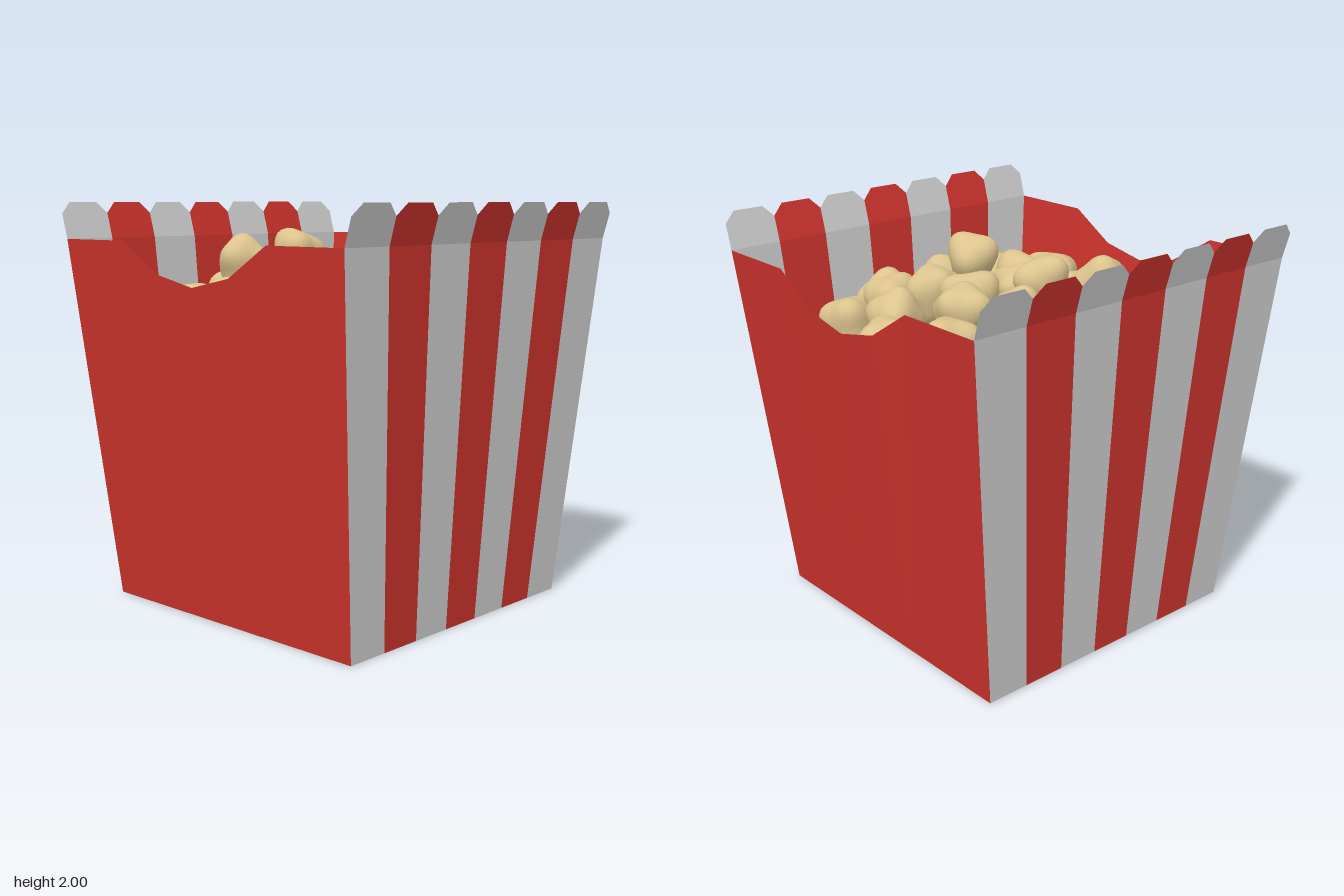
import * as THREE from 'three';
import { mergeVertices } from 'three/addons/utils/BufferGeometryUtils.js';

const H = 1.82;                       // rim height, where the side tabs start to flare
const lerp = THREE.MathUtils.lerp;
const halfX = (y) => lerp(0.8, 0.93, y / H);
const halfZ = (y) => lerp(0.78, 0.965, y / H);

function makeMaterial(name, color, side = THREE.FrontSide) {
  const m = new THREE.MeshStandardMaterial({ color, side });
  m.name = name;
  return m;
}

// Flat-shaded surface from a list of convex polygons, each a list of [x, y, z]
function polygons(list) {
  const pos = [];
  for (const p of list) {
    for (let i = 1; i < p.length - 1; i++) pos.push(...p[0], ...p[i], ...p[i + 1]);
  }
  const g = new THREE.BufferGeometry();
  g.setAttribute('position', new THREE.Float32BufferAttribute(pos, 3));
  g.computeVertexNormals();
  return g;
}

// Rounded, lobed lump of unit radius; lobes are directions that bulge outwards
function lump(lobes) {
  let g = new THREE.SphereGeometry(1, 26, 18);
  g.deleteAttribute('uv');
  g.deleteAttribute('normal');
  g = mergeVertices(g, 1e-4);
  const dirs = lobes.map((l) => new THREE.Vector3(...l).normalize());
  const p = g.attributes.position;
  const v = new THREE.Vector3();
  for (let i = 0; i < p.count; i++) {
    v.fromBufferAttribute(p, i).normalize();
    let r = 0.7;
    for (const d of dirs) r += 0.38 * Math.exp(-5 * (1 - v.dot(d)));
    v.multiplyScalar(r);
    p.setXYZ(i, v.x, v.y, v.z);
  }
  g.computeVertexNormals();
  return g;
}

export function createModel() {
  const red = makeMaterial('red card', 0xcc332c, THREE.DoubleSide);
  const white = makeMaterial('white card', 0xcccccc, THREE.DoubleSide);
  const tan = makeMaterial('popcorn', 0xdcc48e);

  const model = new THREE.Group();
  model.name = 'popcornBox';
  const add = (parent, name, geometry, material) => {
    const mesh = new THREE.Mesh(geometry, material);
    mesh.name = name;
    parent.add(mesh);
    return mesh;
  };

  // Front and back panels with a scooped rim
  const rim = [[-0.93, 1.82], [-0.48, 1.82], [-0.24, 1.67], [0, 1.62], [0.24, 1.67], [0.48, 1.82], [0.93, 1.82]];
  for (const s of [1, -1]) {
    const quads = [];
    for (let i = 0; i < rim.length - 1; i++) {
      const [xa, ya] = rim[i], [xb, yb] = rim[i + 1];
      const k = 0.8 / 0.93;
      quads.push([[s * xa * k, 0, s * 0.78], [s * xb * k, 0, s * 0.78], [s * xb, yb, s * 0.965], [s * xa, ya, s * 0.965]]);
    }
    add(model, s > 0 ? 'frontPanel' : 'backPanel', polygons(quads), red);
  }

  // Striped side panels, each stripe ending in a flared, chamfered tab
  const N = 7;
  for (const s of [1, -1]) {
    const side = new THREE.Group();
    side.name = s > 0 ? 'leftSide' : 'rightSide';
    model.add(side);
    for (let i = 0; i < N; i++) {
      const a = (-1 + (2 * i) / N) * -s, b = (-1 + (2 * (i + 1)) / N) * -s;
      const za = a * 0.965, zb = b * 0.965, c = Math.sign(b - a) * 0.057;
      const stripe = [[s * 0.8, 0, a * 0.78], [s * 0.8, 0, b * 0.78], [s * 0.93, H, zb], [s * 0.93, H, za]];
      const tab = [[s * 0.93, H, za], [s * 0.93, H, zb], [s * 0.966, 1.945, zb],
        [s * 0.982, 2, zb - c], [s * 0.982, 2, za + c], [s * 0.966, 1.945, za]];
      add(side, 'stripe', polygons([stripe, tab]), i % 2 ? red : white);
    }
  }

  // Floor of the box
  add(model, 'bottom', polygons([[[-0.8, 0, -0.78], [0.8, 0, -0.78], [0.8, 0, 0.78], [-0.8, 0, 0.78]]]), red);

  // Gentle mound that fills the box under the loose pieces
  const base = 1.25;
  const mound = new THREE.PlaneGeometry(2 * halfX(base) - 0.006, 2 * halfZ(base) - 0.006, 28, 28).rotateX(-Math.PI / 2);
  const mp = mound.attributes.position;
  for (let i = 0; i < mp.count; i++) {
    const r = Math.min(1, Math.hypot(mp.getX(i), mp.getZ(i)) / 0.88);
    mp.setY(i, base + 0.3 * (0.5 + 0.5 * Math.cos(Math.PI * r)));
  }
  mound.computeVertexNormals();
  add(model, 'popcornMound', mound, tan);

  // Loose popped pieces: x, z, radius, optional height of the top
  const shapes = [
    lump([[1, 0.1, 0.5], [-1, 0.1, 0.5], [0, 0.2, -1], [0, 1, 0.1], [0, -1, 0]]),
    lump([[0.8, 0.5, 0.7], [-0.9, 0.4, 0.4], [0.1, 0.5, -1], [0.3, -0.8, 0.2]]),
    lump([[0.4, 0.8, 0.8], [0.4, 0.8, -0.8], [-0.8, 0.6, 0], [0.9, -0.1, 0], [0, -1, 0]]),
  ];
  const pieces = [
    [-0.63, -0.62, 0.17, 1.58], [-0.23, -0.53, 0.15], [0.02, -0.7, 0.16], [0.2, -0.52, 0.15], [0.58, -0.52, 0.16],
    [0.44, -0.35, 0.16], [0.68, -0.21, 0.17], [-0.48, -0.33, 0.15], [-0.09, -0.33, 0.15], [-0.3, -0.17, 0.15],
    [0.04, -0.18, 0.16], [0.26, -0.22, 0.15], [-0.68, -0.08, 0.16], [-0.26, 0.03, 0.15, 1.89], [0.24, 0, 0.15, 1.89],
    [0.5, 0.03, 0.18], [-0.03, 0.06, 0.14], [-0.55, 0.17, 0.15], [-0.38, 0.3, 0.155, 1.84], [-0.16, 0.31, 0.13, 1.74],
    [0.14, 0.23, 0.17], [0.45, 0.33, 0.16], [-0.6, 0.5, 0.16], [-0.37, 0.64, 0.16], [-0.1, 0.62, 0.16],
    [0.18, 0.5, 0.16, 1.74], [0.55, 0.62, 0.17],
  ];
  const popcorn = new THREE.Group();
  popcorn.name = 'popcorn';
  model.add(popcorn);
  pieces.forEach(([x, z, r, top = 1.79 - 0.3 * (x * x + z * z)], i) => {
    const piece = add(popcorn, 'popcornPiece', shapes[i % 3], tan);
    piece.scale.setScalar(r * 0.98);
    piece.rotation.set(0.35 * Math.sin(i * 2.3), i * 2.4, 0.35 * Math.cos(i * 1.7));
    piece.position.set(x, top - r, z);
  });

  return model;
}
